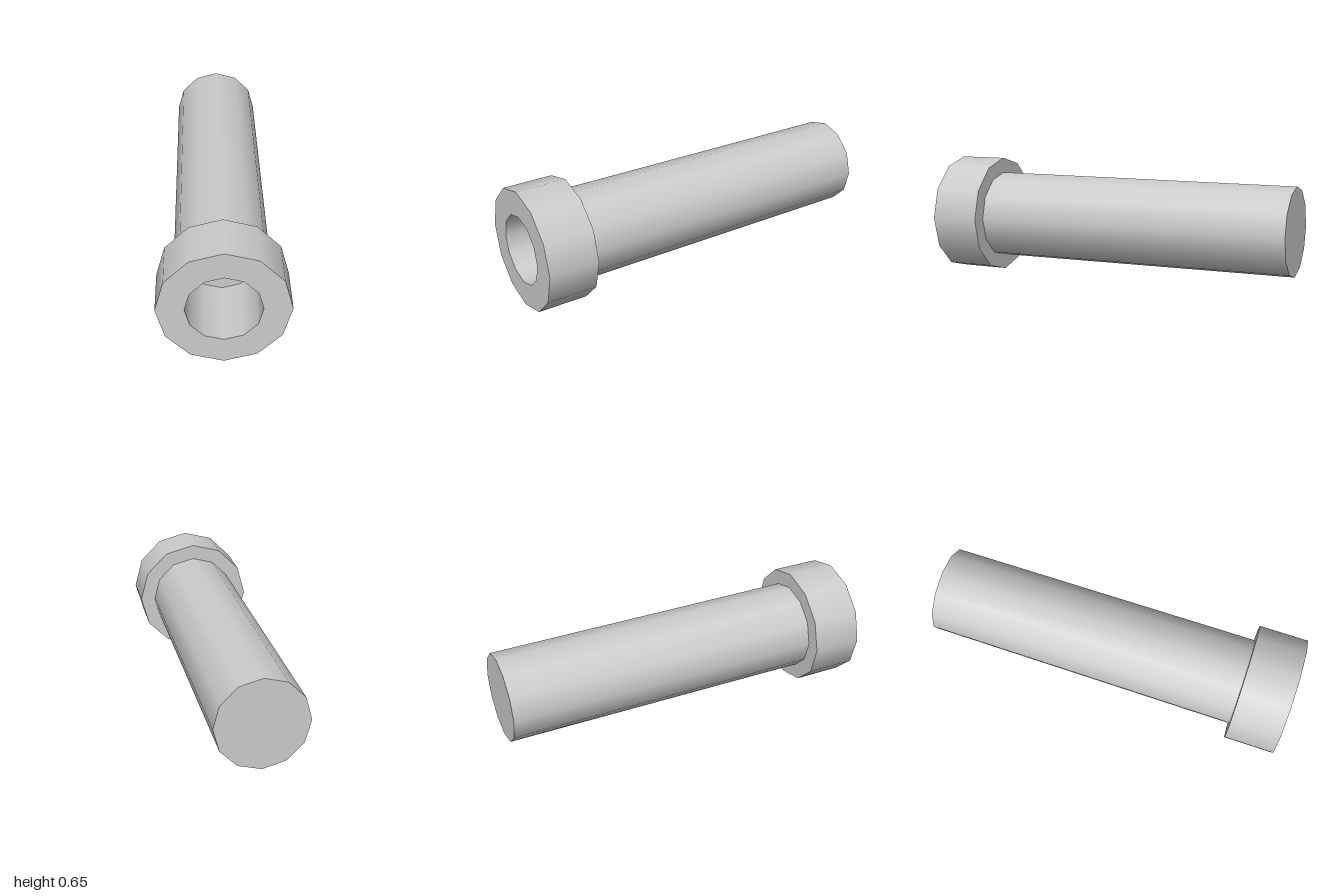
import * as THREE from 'three';

const SIDES = 12;
const AXIS_HEIGHT = 0.327;

export function createModel() {
  const model = new THREE.Group();
  model.name = 'socketHeadBolt';
  const material = new THREE.MeshStandardMaterial({ color: 0xcccccc });

  // One turned face between two [radius, z] points, smooth around the axis
  const addBand = (group, name, from, to) => {
    const points = [from, to].map(([r, z]) => new THREE.Vector2(r, z));
    const geometry = new THREE.LatheGeometry(points, SIDES);
    geometry.rotateX(Math.PI / 2);
    const mesh = new THREE.Mesh(geometry, material);
    mesh.name = name;
    group.add(mesh);
  };

  // A part made of successive bands, with hard edges between them
  const addPart = (name, profile, bandNames) => {
    const group = new THREE.Group();
    group.name = name;
    bandNames.forEach((band, i) => addBand(group, band, profile[i], profile[i + 1]));
    group.position.y = AXIS_HEIGHT;
    model.add(group);
  };

  // Slightly tapered shaft with a closed end
  addPart('shaft', [[0, -1], [0.238, -1], [0.243, 0.73]], ['shaftEnd', 'shaftWall']);

  // Wide head
  addPart('head', [[0.243, 0.73], [0.327, 0.73], [0.327, 1], [0.188, 1]],
    ['headBack', 'headWall', 'headFront']);

  // Blind hole in the head
  addPart('socket', [[0.188, 1], [0.188, 0.61], [0, 0.61]], ['socketWall', 'socketFloor']);

  return model;
}
